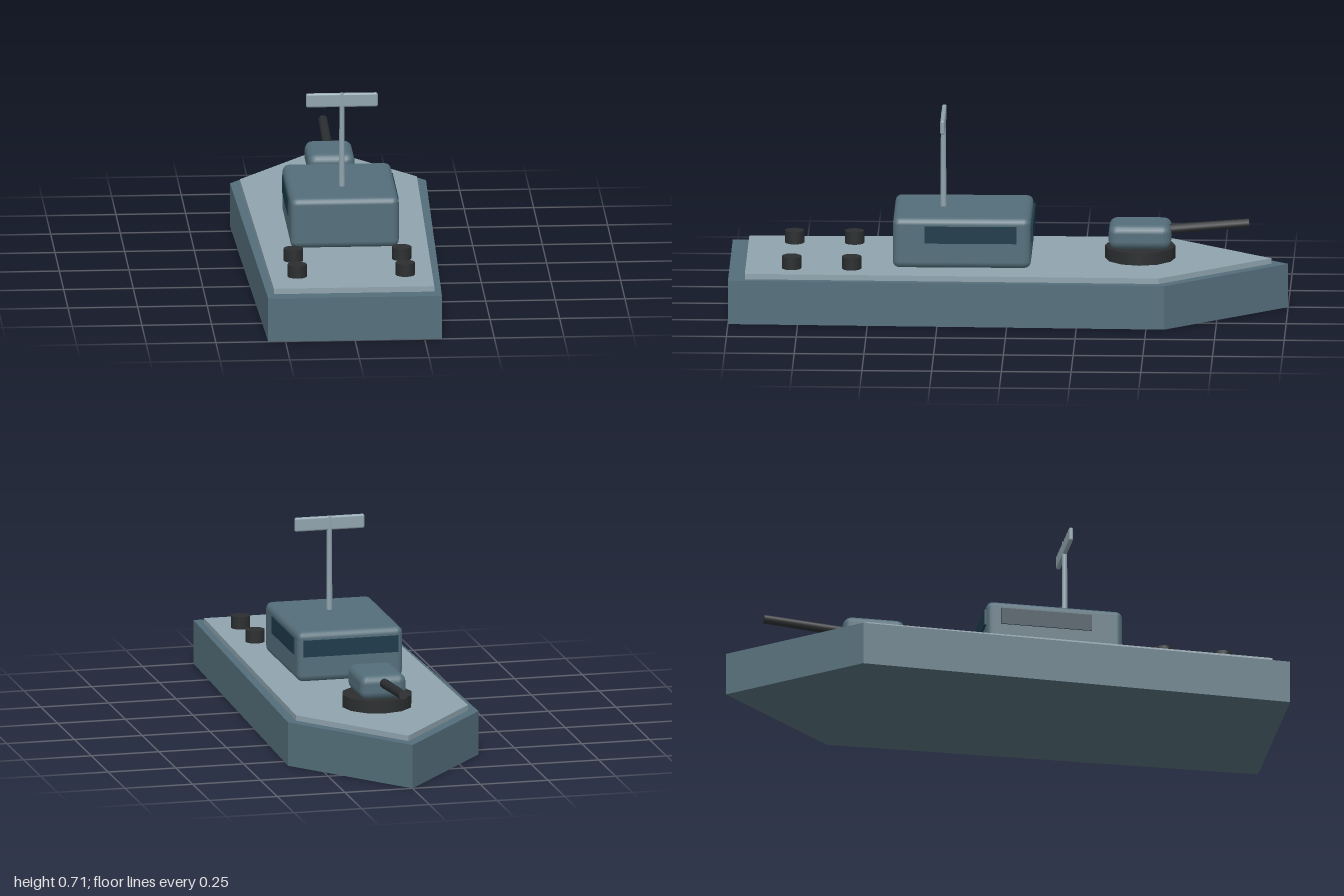
import * as THREE from 'three';
import { RoundedBoxGeometry } from 'three/addons/geometries/RoundedBoxGeometry.js';

const mat = (color) => new THREE.MeshStandardMaterial({ color });

export function createModel() {
  const group = new THREE.Group();
  const hullMat = mat(0x546e7a), deckMat = mat(0x90a4ae);
  const darkMat = mat(0x2b2e30), glassMat = mat(0x1c3a4a);

  function add(name, geometry, material, x, y, z) {
    const mesh = new THREE.Mesh(geometry, material);
    mesh.name = name;
    mesh.position.set(x, y, z);
    group.add(mesh);
    return mesh;
  }

  // Five-sided slab with its pointed bow towards -z
  function slab(stern, beam, shoulder, end, height) {
    const shape = new THREE.Shape([
      [-stern, -end], [stern, -end], [beam, shoulder], [0, end], [-beam, shoulder],
    ].map(([x, y]) => new THREE.Vector2(x, y)));
    return new THREE.ExtrudeGeometry(shape, { depth: height, bevelEnabled: false })
      .rotateX(-Math.PI / 2);
  }
  add('hull', slab(0.312, 0.352, 0.565, 1, 0.16), hullMat, 0, 0, 0);
  add('deck', slab(0.288, 0.318, 0.545, 0.94, 0.02), deckMat, 0, 0.16, 0);

  // Cabin with windows facing the bow and both sides
  add('cabin', new RoundedBoxGeometry(0.39, 0.185, 0.495, 2, 0.024), hullMat, 0, 0.2725, 0.165);
  add('bowWindow', new THREE.BoxGeometry(0.35, 0.06, 0.02), glassMat, 0, 0.305, -0.08);
  for (const side of [-1, 1]) {
    add('sideWindow', new THREE.BoxGeometry(0.02, 0.062, 0.33), glassMat, side * 0.189, 0.305, 0.133);
  }

  // Mast and radar bar
  add('mast', new THREE.CylinderGeometry(0.009, 0.011, 0.346, 10), deckMat, 0, 0.536, 0.236);
  add('radarBar', new RoundedBoxGeometry(0.258, 0.052, 0.016, 2, 0.007), deckMat, 0, 0.684, 0.236);

  // Gun turret on a round base, barrel raised slightly towards the bow
  add('turretBase', new THREE.CylinderGeometry(0.127, 0.127, 0.045, 12), darkMat, 0, 0.2025, -0.47);
  add('turret', new RoundedBoxGeometry(0.17, 0.09, 0.224, 2, 0.03), hullMat, 0, 0.27, -0.47);
  const barrel = add('gunBarrel', new THREE.CylinderGeometry(0.016, 0.018, 0.36, 10), darkMat, 0, 0.295, -0.682);
  barrel.rotation.x = -Math.PI / 2 + 0.085;

  // Bollards on the aft deck
  for (const x of [-0.194, 0.194]) {
    for (const z of [0.56, 0.775]) {
      add('bollard', new THREE.CylinderGeometry(0.035, 0.035, 0.045, 12), darkMat, x, 0.2025, z);
    }
  }
  return group;
}
